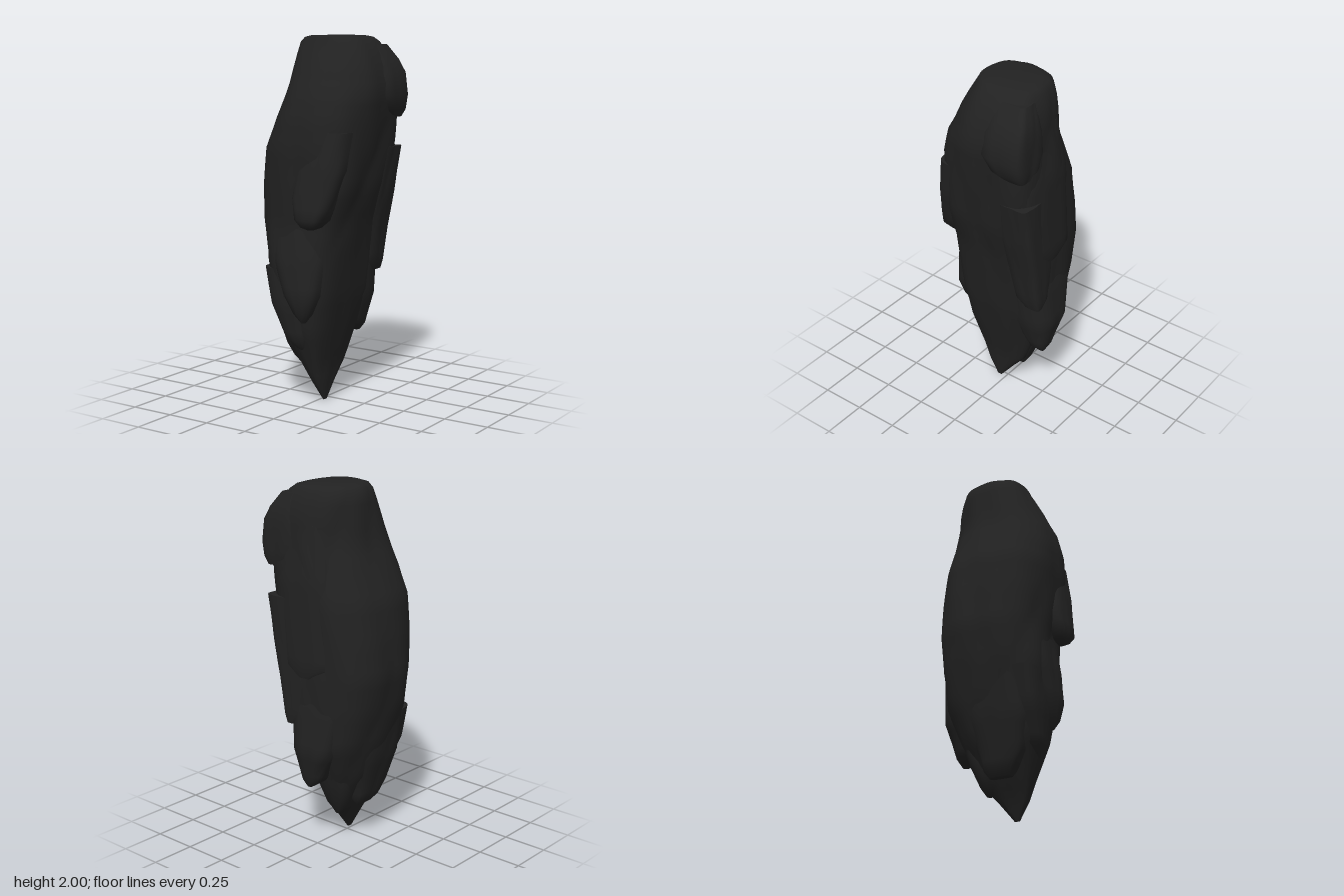
import * as THREE from 'three';
import { toCreasedNormals } from 'three/addons/utils/BufferGeometryUtils.js';

const SEG = 56;

// Blends linearly between rows whose first entry is the height y
function rowAt(rows, y) {
  const i = Math.max(1, rows.findIndex((r) => r[0] >= y));
  const a = rows[i - 1], b = rows[i], t = (y - a[0]) / (b[0] - a[0]);
  return a.map((v, c) => v + (b[c] - v) * t);
}

// Lofts a rounded-box section through rows of [y, x0, x1, z0, z1].
// corners: rows of [y, squareness of the +x+z, -x+z, -x-z, +x-z corners].
function loft(rows, corners, relief, step = 0.05) {
  const heights = [rows[0][0]];
  for (let i = 1; i < rows.length; i++) {
    const y = rows[i - 1][0], h = rows[i][0] - y, n = Math.max(1, Math.round(h / step));
    for (let k = 1; k <= n; k++) heights.push(k === n ? rows[i][0] : y + h * k / n);
  }
  const levels = heights.map((y) => rowAt(rows, y));
  const pos = [], idx = [];
  for (const [y, x0, x1, z0, z1] of levels) {
    const n4 = rowAt(corners, y);
    for (let j = 0; j < SEG; j++) {
      const a = (j / SEG) * Math.PI * 2, c = Math.cos(a), s = Math.sin(a);
      const n = n4[1 + Math.floor(j / SEG * 4)];
      // Shallow slanted facets cut inwards from the section
      const cut = Math.abs(Math.sin(a * 3 + y * 2.3 + Math.sin(y * 5 + a))) * 0.6
        + Math.abs(Math.sin(a * 5 - y * 4.1 + 1)) * 0.4;
      const r = (1 - relief * (1 - cut)) / Math.pow(Math.abs(c) ** n + Math.abs(s) ** n, 1 / n);
      pos.push((x0 + x1) / 2 + c * r * (x1 - x0) / 2, y, (z0 + z1) / 2 + s * r * (z1 - z0) / 2);
    }
  }
  const last = (levels.length - 1) * SEG;
  for (let i = 0; i < last; i += SEG) {
    for (let j = 0; j < SEG; j++) {
      const k = (j + 1) % SEG;
      const a = i + j, b = i + k, c = a + SEG, d = b + SEG;
      idx.push(a, c, b, b, c, d);
    }
  }
  // End caps
  const center = (l) => [(l[1] + l[2]) / 2, l[0], (l[3] + l[4]) / 2];
  const bottom = pos.length / 3;
  pos.push(...center(levels[0]), ...center(levels[levels.length - 1]));
  for (let j = 0; j < SEG; j++) {
    const k = (j + 1) % SEG;
    idx.push(bottom, j, k, bottom + 1, last + k, last + j);
  }
  const g = new THREE.BufferGeometry();
  g.setAttribute('position', new THREE.Float32BufferAttribute(pos, 3));
  g.setIndex(idx);
  return toCreasedNormals(g, 0.8);
}

export function createModel() {
  const group = new THREE.Group();
  group.name = 'rockShard';
  const stone = new THREE.MeshStandardMaterial({ color: 0x222222 });
  stone.name = 'darkStone';
  const add = (name, rows, corners, relief) => {
    const mesh = new THREE.Mesh(loft(rows, corners, relief), stone);
    mesh.name = name;
    group.add(mesh);
  };

  // Main shard: pointed foot, broad middle, flat narrow top
  add('shardBody', [
    [0, 0.015, 0.025, 0.03, 0.06],
    [0.1, -0.03, 0.04, -0.05, 0.12],
    [0.2, -0.09, 0.055, -0.14, 0.16],
    [0.4, -0.2, 0.105, -0.22, 0.235],
    [0.6, -0.265, 0.15, -0.3, 0.27],
    [0.8, -0.315, 0.18, -0.32, 0.28],
    [1.0, -0.35, 0.215, -0.325, 0.27],
    [1.2, -0.34, 0.265, -0.325, 0.29],
    [1.4, -0.315, 0.295, -0.33, 0.302],
    [1.55, -0.255, 0.315, -0.325, 0.292],
    [1.68, -0.205, 0.33, -0.318, 0.26],
    [1.75, -0.192, 0.322, -0.31, 0.225],
    [1.83, -0.18, 0.3, -0.305, 0.19],
    [1.9, -0.17, 0.265, -0.29, 0.155],
    [1.965, -0.16, 0.225, -0.265, 0.12],
    [1.99, -0.13, 0.19, -0.245, 0.11],
    [2, -0.09, 0.14, -0.21, 0.08],
  ], [
    [0, 3, 2.5, 2.5, 3.5],
    [0.6, 4.2, 2.5, 2.5, 4.6],
    [1.2, 4.5, 2.4, 2.5, 5],
    [1.5, 3.2, 2.4, 2.2, 5],
    [1.75, 2.3, 2.6, 2, 5],
    [2, 2.5, 2.6, 2, 4],
  ], 0.05);

  // Overlapping slabs, each ending in a broken lower edge
  const slab = (name, rows, n = [3, 3, 3, 3]) => add(name, rows, [[0, ...n], [2, ...n]], 0.04);
  slab('rightShoulder', [
    [1.56, 0.16, 0.3, -0.31, -0.14],
    [1.6, 0.08, 0.33, -0.32, -0.06],
    [1.68, 0.06, 0.347, -0.322, 0],
    [1.8, 0.08, 0.33, -0.318, -0.03],
    [1.87, 0.1, 0.29, -0.305, -0.05],
    [1.95, 0.1, 0.23, -0.27, -0.06],
  ], [2.3, 3, 3, 7]);
  slab('rightBackCorner', [
    [0.7, 0.1, 0.16, -0.32, -0.22],
    [0.75, 0.04, 0.178, -0.328, -0.16],
    [0.95, 0, 0.212, -0.33, -0.12],
    [1.15, 0, 0.255, -0.33, -0.1],
    [1.4, 0.05, 0.295, -0.33, -0.1],
  ], [3, 3, 3, 7]);
  slab('frontLedge', [
    [0.985, 0.06, 0.1, 0.22, 0.29],
    [1.0, 0.03, 0.14, 0.18, 0.325],
    [1.04, -0.01, 0.18, 0.14, 0.343],
    [1.15, -0.04, 0.22, 0.08, 0.33],
    [1.3, -0.02, 0.26, 0.05, 0.308],
    [1.5, 0.04, 0.28, 0.02, 0.27],
  ], [3.5, 3, 3, 3]);
  slab('frontLowerSlab', [
    [0.47, 0, 0.03, 0.2, 0.26],
    [0.52, -0.05, 0.07, 0.14, 0.29],
    [0.62, -0.11, 0.11, 0.12, 0.31],
    [0.8, -0.2, 0.14, 0.08, 0.295],
    [1.0, -0.24, 0.15, 0.06, 0.26],
  ], [3, 2.5, 3, 3]);
  slab('frontChip', [
    [0.3, -0.05, -0.01, 0.12, 0.195],
    [0.36, -0.13, 0.02, 0.06, 0.24],
    [0.55, -0.22, 0.05, 0.05, 0.265],
    [0.75, -0.27, 0.05, 0.05, 0.26],
  ]);
  slab('leftChip', [
    [0.2, -0.13, -0.09, -0.05, 0.08],
    [0.24, -0.165, -0.06, -0.08, 0.11],
    [0.32, -0.19, -0.04, -0.1, 0.16],
    [0.5, -0.245, 0, -0.16, 0.21],
    [0.8, -0.3, 0, -0.2, 0.2],
  ]);
  slab('footChip', [
    [0.14, -0.04, 0, -0.11, -0.04],
    [0.18, -0.08, 0.02, -0.135, 0],
    [0.3, -0.13, 0.05, -0.185, 0],
    [0.45, -0.16, 0.06, -0.23, 0],
  ]);
  slab('backSlab', [
    [0.34, 0.02, 0.05, -0.28, -0.24],
    [0.38, -0.04, 0.085, -0.3, -0.19],
    [0.46, -0.08, 0.11, -0.318, -0.14],
    [0.56, -0.14, 0.14, -0.342, -0.1],
    [0.8, -0.19, 0.17, -0.325, -0.08],
    [1.0, -0.18, 0.17, -0.29, -0.08],
  ]);
  slab('backLedge', [
    [0.98, -0.04, 0.11, -0.325, -0.2],
    [1.04, -0.15, 0.2, -0.338, -0.12],
    [1.25, -0.15, 0.25, -0.335, -0.1],
    [1.5, -0.13, 0.26, -0.332, -0.1],
    [1.8, -0.08, 0.2, -0.295, -0.1],
  ]);
  return group;
}
